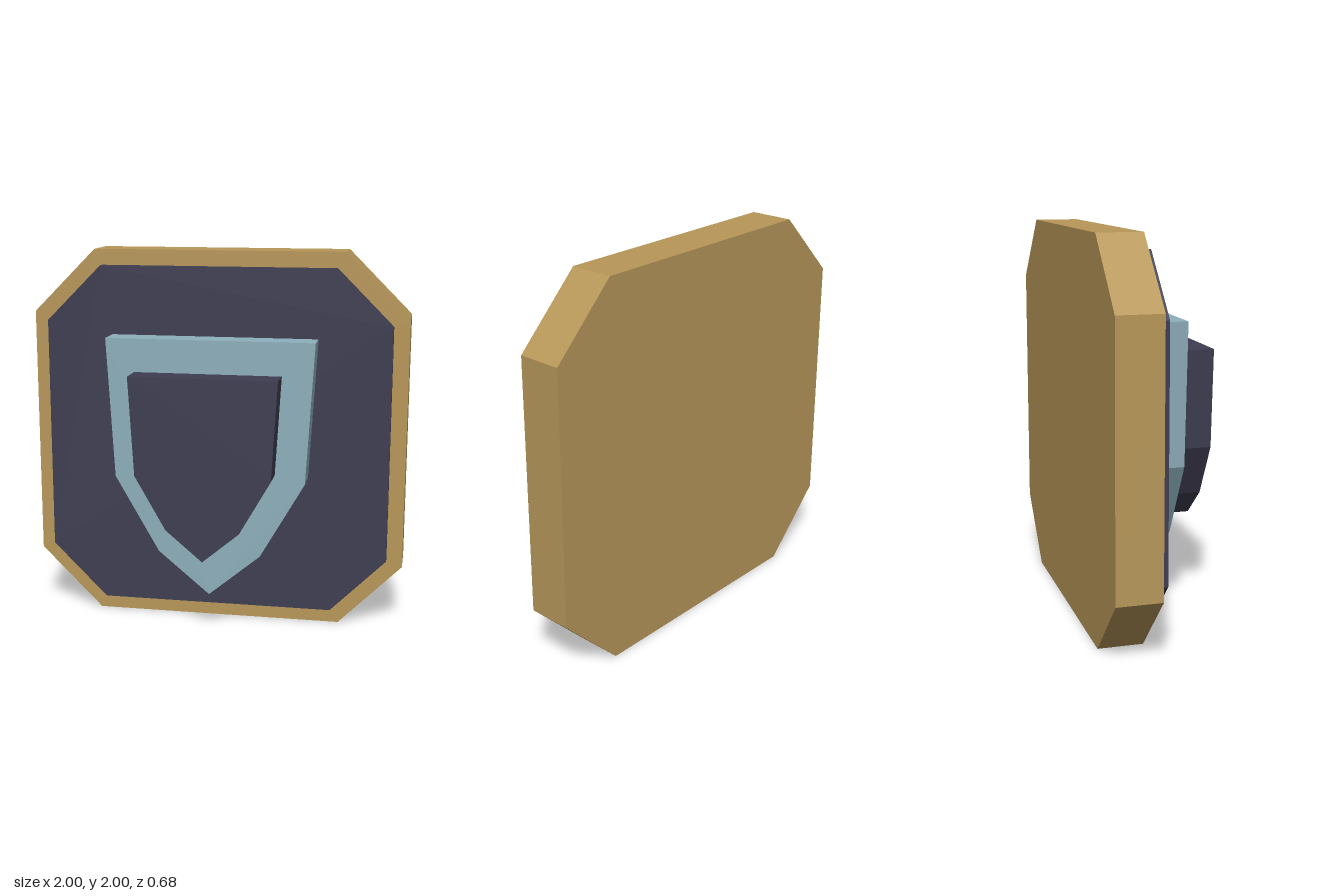
import * as THREE from 'three';

const gold = new THREE.MeshStandardMaterial({ name: 'antique gold', color: 0xb8985a });
const navy = new THREE.MeshStandardMaterial({ name: 'dark navy', color: 0x3f3e52 });
const teal = new THREE.MeshStandardMaterial({ name: 'pale teal', color: 0x8dafbc });

// Closed outline mirrored across x = 0 from its right half, listed bottom to top
function mirroredShape(half) {
  const left = half.filter(([x]) => x > 0).reverse().map(([x, y]) => [-x, y]);
  return new THREE.Shape([...half, ...left].map(([x, y]) => new THREE.Vector2(x, y)));
}

// Flat slab from an outline, spanning zBack to zFront
function slab(name, half, zBack, zFront, material) {
  const geometry = new THREE.ExtrudeGeometry(mirroredShape(half), {
    depth: zFront - zBack,
    bevelEnabled: false,
  });
  geometry.translate(0, 0, zBack);
  const mesh = new THREE.Mesh(geometry, material);
  mesh.name = name;
  return mesh;
}

// Right half of a square with cut corners, centred at y = 1
const octagon = (r, c) => [[c, 1 - r], [r, 1 - c], [r, 1 + c], [c, 1 + r]];

export function createModel() {
  const group = new THREE.Group();
  group.name = 'shieldPlaque';

  // Backing plate and its inset face
  group.add(slab('backingPlate', octagon(1, 0.665), -0.34, -0.11, gold));
  group.add(slab('facePanel', octagon(0.917, 0.623), -0.2, -0.063, navy));

  // Two shields standing off the panel
  group.add(slab('outerShield',
    [[0, 0.21], [0.27, 0.435], [0.5, 0.835], [0.542, 1.565]], 0.005, 0.15, teal));
  group.add(slab('innerShield',
    [[0, 0.45], [0.19, 0.61], [0.35, 0.89], [0.38, 1.4]], 0.195, 0.34, navy));

  return group;
}
